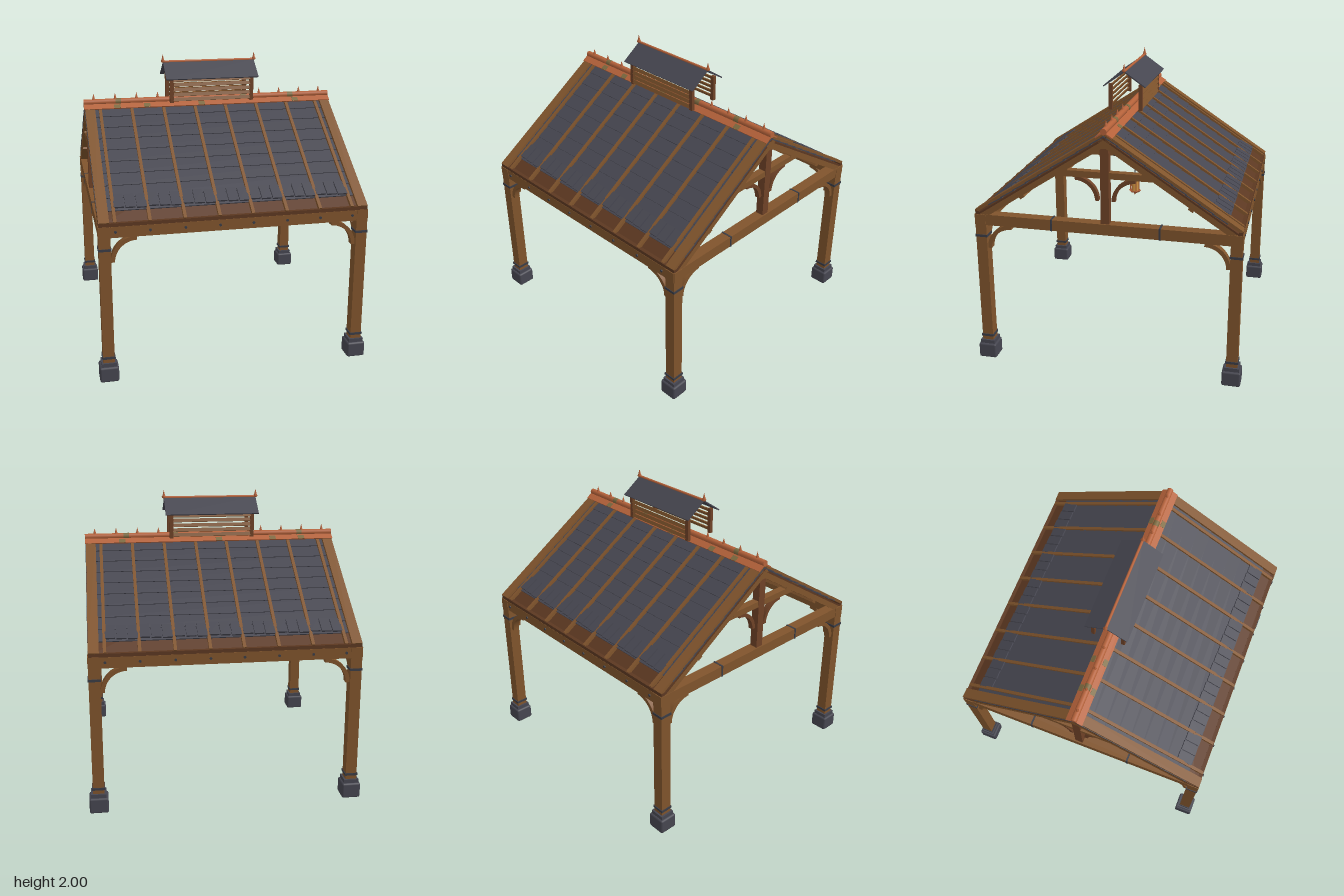
import * as THREE from 'three';
import { RoundedBoxGeometry } from 'three/addons/geometries/RoundedBoxGeometry.js';

const mat = (name, color) => {
  const m = new THREE.MeshStandardMaterial({ color });
  m.name = name;
  return m;
};
const wood = mat('oak', 0x80542c);
const redWood = mat('red wood', 0x6f4227);
const deckWood = mat('dark deck wood', 0x5c3821);
const slate = mat('slate', 0x464650);
const iron = mat('iron', 0x3a3c45);
const copper = mat('copper', 0xb5623a);
const patina = mat('patina', 0x7d6a40);
const glass = mat('amber glass', 0xd99a45);

const SIDES = [-1, 1];
const P = 0.85; // post centre distance
const BAYS = [-0.78, -0.56, -0.335, -0.11, 0.11, 0.335, 0.56, 0.78];
const SLOPE = Math.atan(0.655);

function add(parent, name, geometry, material, x = 0, y = 0, z = 0) {
  const m = new THREE.Mesh(geometry, material);
  m.name = name;
  m.position.set(x, y, z);
  parent.add(m);
  return m;
}
const box = (parent, name, material, w, h, d, x, y, z) =>
  add(parent, name, new THREE.BoxGeometry(w, h, d), material, x, y, z);

function group(parent, name) {
  const g = new THREE.Group();
  g.name = name;
  parent.add(g);
  return g;
}

// Quarter-arc brace: corner at the origin, one leg along +x, the other down
function braceGeometry(r, t, depth) {
  const s = new THREE.Shape();
  s.absarc(r, -r, r, Math.PI / 2, Math.PI, false);
  s.absarc(r, -r, r - t, Math.PI, Math.PI / 2, true);
  const g = new THREE.ExtrudeGeometry(s, { depth, bevelEnabled: false, curveSegments: 10 });
  return g.translate(0, 0, -depth / 2);
}

function buildPost(root, sx, sz) {
  const g = group(root, 'cornerPost');
  g.position.set(sx * P, 0, sz * P);
  add(g, 'footing', new RoundedBoxGeometry(0.125, 0.105, 0.125, 1, 0.012), slate, 0, 0.0525, 0);
  box(g, 'footingCap', slate, 0.1, 0.027, 0.1, 0, 0.117, 0);
  box(g, 'post', wood, 0.075, 0.87, 0.075, 0, 0.56, 0);
  box(g, 'lowerBand', iron, 0.086, 0.016, 0.086, 0, 0.165, 0);
  box(g, 'upperBand', iron, 0.084, 0.016, 0.084, 0, 0.913, 0);
  const brace = braceGeometry(0.17, 0.027, 0.045);
  const bx = add(g, 'beamBrace', brace, wood, -sx * 0.036, 0.992, 0);
  bx.rotation.y = sx > 0 ? Math.PI : 0;
  const bz = add(g, 'tieBrace', brace, wood, 0, 0.992, -sz * 0.036);
  bz.rotation.y = sz * Math.PI / 2;
}

// Gable truss in the plane x = sx * P
function buildTruss(root, sx) {
  const g = group(root, 'gableTruss');
  g.position.x = sx * P;
  box(g, 'tieBeam', wood, 0.074, 0.074, 1.78, 0, 1.028, 0);
  box(g, 'kingPost', redWood, 0.055, 0.52, 0.055, 0, 1.32, 0);
  box(g, 'collarBeam', wood, 0.05, 0.042, 0.74, 0, 1.391, 0);
  const brace = braceGeometry(0.155, 0.024, 0.035);
  for (const s of SIDES) {
    box(g, 'tieBand', iron, 0.079, 0.079, 0.012, 0, 1.028, s * 0.36);
    const b = add(g, 'collarBrace', brace, redWood, 0, 1.372, s * 0.042);
    b.rotation.y = -s * Math.PI / 2;
  }
}

// One roof slope: local +z runs down from the ridge, local y is its normal
function buildSlope(root, sz) {
  const holder = group(root, 'roofSlope');
  holder.rotation.y = sz > 0 ? 0 : Math.PI;
  const g = group(holder, 'slopeLayers');
  g.position.y = 1.672;
  g.rotation.x = SLOPE;
  const L = 1.06;
  box(g, 'deck', deckWood, 1.77, 0.012, L, 0, -0.033, L / 2);
  // Overlapping slate courses
  const courses = 9, pitch = 0.104;
  for (let i = 0; i < courses; i++) {
    const c = box(g, 'slateCourse', slate, 1.775, 0.007, pitch + 0.012, 0, -0.018, 0.012 + (i + 0.5) * pitch);
    c.rotation.x = -0.05;
  }
  // Separate tiles along the lowest course
  for (let b = 0; b < 7; b++) {
    const cx = (BAYS[b] + BAYS[b + 1]) / 2;
    for (let k = -1; k <= 1; k++) {
      const t = box(g, 'eaveTile', slate, 0.064, 0.012, 0.115, cx + k * 0.073, -0.006, 0.885 + k * 0.004);
      t.rotation.x = -0.06;
    }
  }
  for (const x of BAYS) {
    box(g, 'batten', wood, 0.021, 0.022, L - 0.01, x, -0.011, L / 2);
    box(g, 'commonRafter', wood, 0.03, 0.03, L - 0.06, x, -0.053, L / 2 - 0.02);
  }
  for (const s of SIDES) {
    box(g, 'bargeBoard', wood, 0.068, 0.02, L, s * P, -0.007, L / 2);
    box(g, 'gableRafter', wood, 0.07, 0.038, L - 0.02, s * P, -0.058, L / 2 - 0.01);
  }
  for (const s of [0.36, 0.72]) box(g, 'purlin', wood, 1.76, 0.034, 0.036, 0, -0.076, s);
  // Copper flashing with weathered patches
  box(g, 'ridgeFlashing', copper, 1.78, 0.008, 0.06, 0, 0.003, 0.034);
  for (const x of [-0.66, -0.45, -0.06, 0.63])
    box(g, 'patinaPatch', patina, 0.045, 0.004, 0.035, sz * x, 0.007, 0.046);
  box(holder, 'eaveFascia', deckWood, 1.77, 0.026, 0.025, 0, 1.074, 0.872);
}

function buildRidge(root) {
  const g = group(root, 'ridge');
  box(g, 'ridgeBeam', wood, 1.77, 0.06, 0.05, 0, 1.6, 0);
  const cap = add(g, 'ridgeCap', new THREE.CylinderGeometry(0.021, 0.021, 1.78, 12), copper, 0, 1.68, 0);
  cap.rotation.z = Math.PI / 2;
  for (const x of [-0.65, 0.25, 0.6]) {
    const p = add(g, 'capPatina', new THREE.CylinderGeometry(0.0222, 0.0222, 0.04, 12), patina, x, 1.68, 0);
    p.rotation.z = Math.PI / 2;
  }
  const spike = new THREE.ConeGeometry(0.012, 0.045, 8);
  for (const s of SIDES)
    for (const x of [0.37, 0.52, 0.67, 0.82]) add(g, 'ridgeSpike', spike, copper, s * x, 1.717, 0);
}

function buildCupola(root) {
  const g = group(root, 'cupola');
  for (const sz of SIDES) {
    for (const sx of SIDES)
      box(g, 'cupolaPost', redWood, 0.026, 0.178, 0.024, sx * 0.285, 1.764, sz * 0.105);
    for (let i = 0; i < 5; i++) {
      const l = box(g, 'louvre', wood, 0.55, 0.024, 0.008, 0, 1.697 + i * 0.034, sz * 0.111);
      l.rotation.x = -sz * 0.4;
    }
    const roof = box(g, 'cupolaRoof', slate, 0.655, 0.008, 0.178, 0, 1.893, sz * 0.072);
    roof.rotation.x = sz * 0.61;
  }
  const cap = add(g, 'cupolaRidge', new THREE.CylinderGeometry(0.009, 0.009, 0.66, 8), copper, 0, 1.947, 0);
  cap.rotation.z = Math.PI / 2;
  const profile = [[0, 0], [0.012, 0.004], [0.015, 0.012], [0.009, 0.022], [0, 0.06]]
    .map(([x, y]) => new THREE.Vector2(x, y));
  for (const s of SIDES)
    add(g, 'finial', new THREE.LatheGeometry(profile, 8), copper, s * 0.328, 1.94, 0);
}

function buildLantern(root) {
  const g = group(root, 'lantern');
  add(g, 'chain', new THREE.CylinderGeometry(0.004, 0.004, 0.46, 6), iron, 0, 1.345, 0);
  add(g, 'lanternKnob', new THREE.SphereGeometry(0.01, 8, 6), copper, 0, 1.117, 0);
  add(g, 'lanternHood', new THREE.CylinderGeometry(0.012, 0.052, 0.028, 6), copper, 0, 1.1, 0);
  add(g, 'lanternGlass', new THREE.CylinderGeometry(0.032, 0.026, 0.09, 6), glass, 0, 1.041, 0);
  for (let i = 0; i < 6; i++) {
    const a = i * Math.PI / 3;
    box(g, 'lanternBar', copper, 0.006, 0.094, 0.006, Math.sin(a) * 0.032, 1.041, Math.cos(a) * 0.032);
  }
  add(g, 'lanternBase', new THREE.CylinderGeometry(0.046, 0.036, 0.012, 6), copper, 0, 0.99, 0);
  const tip = add(g, 'lanternTip', new THREE.ConeGeometry(0.014, 0.028, 6), copper, 0, 0.971, 0);
  tip.rotation.x = Math.PI;
}

export function createModel() {
  const root = new THREE.Group();
  root.name = 'pavilion';
  const bolt = new THREE.CylinderGeometry(0.009, 0.009, 0.008, 8).rotateX(Math.PI / 2);
  for (const s of SIDES) {
    for (const t of SIDES) buildPost(root, s, t);
    buildTruss(root, s);
    // Eave beam with bolts
    box(root, 'eaveBeam', wood, 1.78, 0.072, 0.073, 0, 1.028, s * P);
    for (const x of BAYS) add(root, 'beamBolt', bolt, iron, x, 1.03, s * 0.889);
    buildSlope(root, s);
  }
  buildRidge(root);
  buildCupola(root);
  buildLantern(root);
  return root;
}
